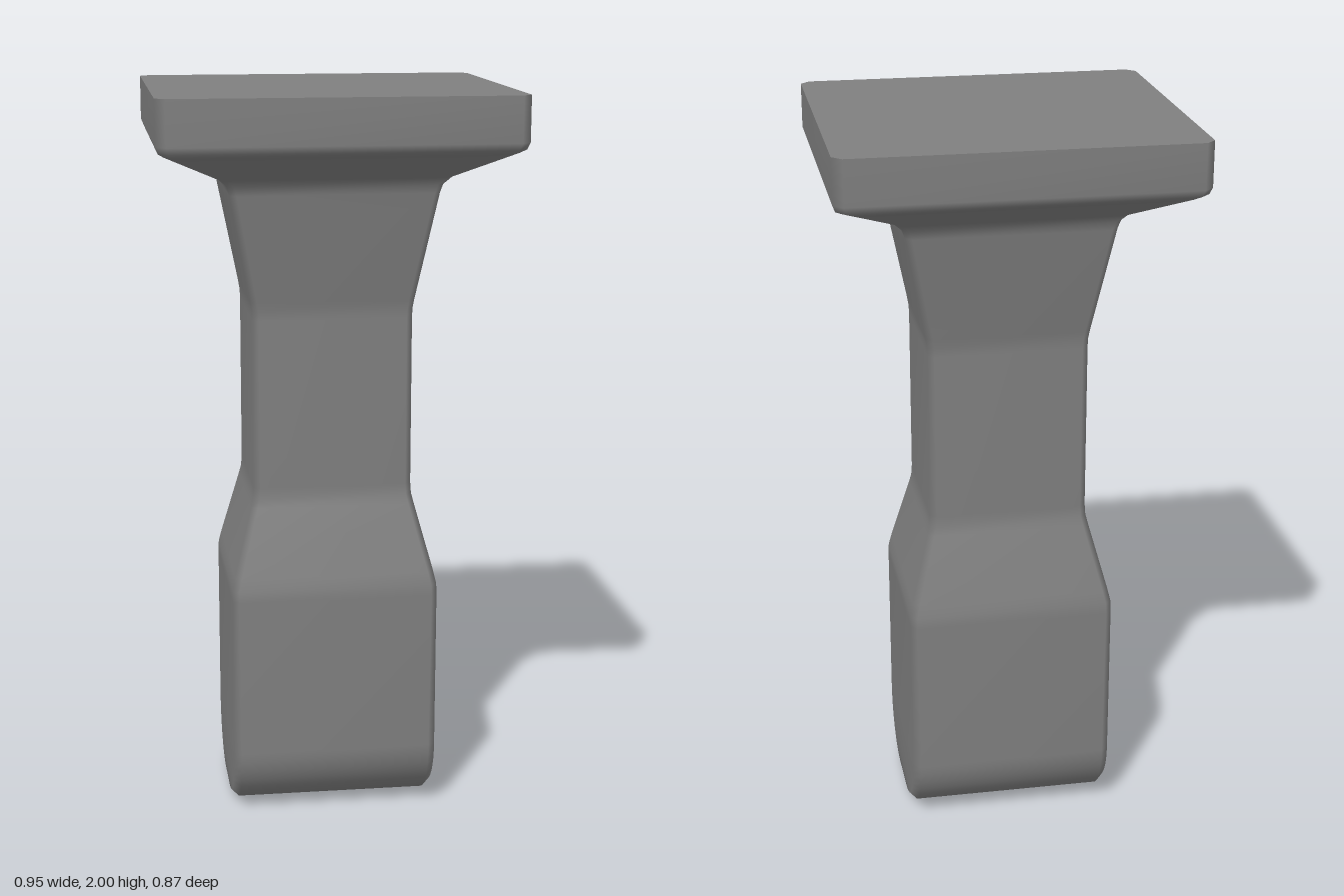
import * as THREE from 'three';

// Bevelled rectangular ring, counterclockwise from above.
// tilt leans the corner bevel upward so it follows the rounded foot.
function ring([y, hx, hz, c, tilt = 0]) {
  const zi = hz - c * Math.cos(tilt), yi = y + c * Math.sin(tilt), xi = hx - c;
  return [
    [hx, yi, -zi], [xi, y, -hz], [-xi, y, -hz], [-hx, yi, -zi],
    [-hx, yi, zi], [-xi, y, hz], [xi, y, hz], [hx, yi, zi],
  ];
}

function makeMesh(name, points, index) {
  const geometry = new THREE.BufferGeometry();
  geometry.setAttribute('position', new THREE.Float32BufferAttribute(points.flat(), 3));
  geometry.setIndex(index);
  geometry.computeVertexNormals();
  const mesh = new THREE.Mesh(geometry, new THREE.MeshStandardMaterial({ color: 0x808080 }));
  mesh.name = name;
  return mesh;
}

const quad = (a, b, c, d) => [a, b, c, a, c, d];

export function createModel() {
  const group = new THREE.Group();
  group.name = 'post';

  // Rounded foot: the section narrows in depth along a quarter circle
  const sections = [];
  const radius = 0.19, steps = 10;
  for (let i = 0; i <= steps; i++) {
    const a = (Math.PI / 2) * (1 - i / steps);
    sections.push([radius * (1 - Math.sin(a)), 0.282, 0.067 + radius * Math.cos(a), 0.02, a]);
  }

  // Grip, narrow waist, flare and top plate: height, half width, half depth, bevel
  sections.push(
    [0.63, 0.282, 0.257, 0.017], [0.66, 0.281, 0.255, 0.017], [0.695, 0.273, 0.247, 0.017],
    [0.88, 0.224, 0.202, 0.017], [0.905, 0.218, 0.196, 0.017], [0.935, 0.216, 0.194, 0.017],
    [1.395, 0.216, 0.194, 0.017], [1.42, 0.217, 0.195, 0.017], [1.445, 0.221, 0.199, 0.017],
    [1.735, 0.277, 0.249, 0.017], [1.758, 0.284, 0.256, 0.017], [1.778, 0.305, 0.271, 0.02],
    [1.852, 0.452, 0.412, 0.025], [1.862, 0.468, 0.428, 0.025], [1.88, 0.475, 0.435, 0.025],
    [2, 0.475, 0.435, 0.025],
  );

  const rings = sections.map(ring);
  const index = [];
  for (let r = 0; r < rings.length - 1; r++) {
    for (let i = 0; i < 8; i++) {
      const j = (i + 1) % 8, low = r * 8, up = low + 8;
      index.push(...quad(low + i, low + j, up + j, up + i));
    }
  }
  // Underside of the foot with its two end bevels
  index.push(...quad(6, 5, 2, 1), ...quad(7, 6, 1, 0), ...quad(5, 4, 3, 2));
  group.add(makeMesh('shaftAndPlate', rings.flat(), index));

  // Flat top with a sharp rim
  const cap = [];
  for (let i = 1; i < 7; i++) cap.push(0, i, i + 1);
  group.add(makeMesh('plateTop', rings[rings.length - 1], cap));

  return group;
}
